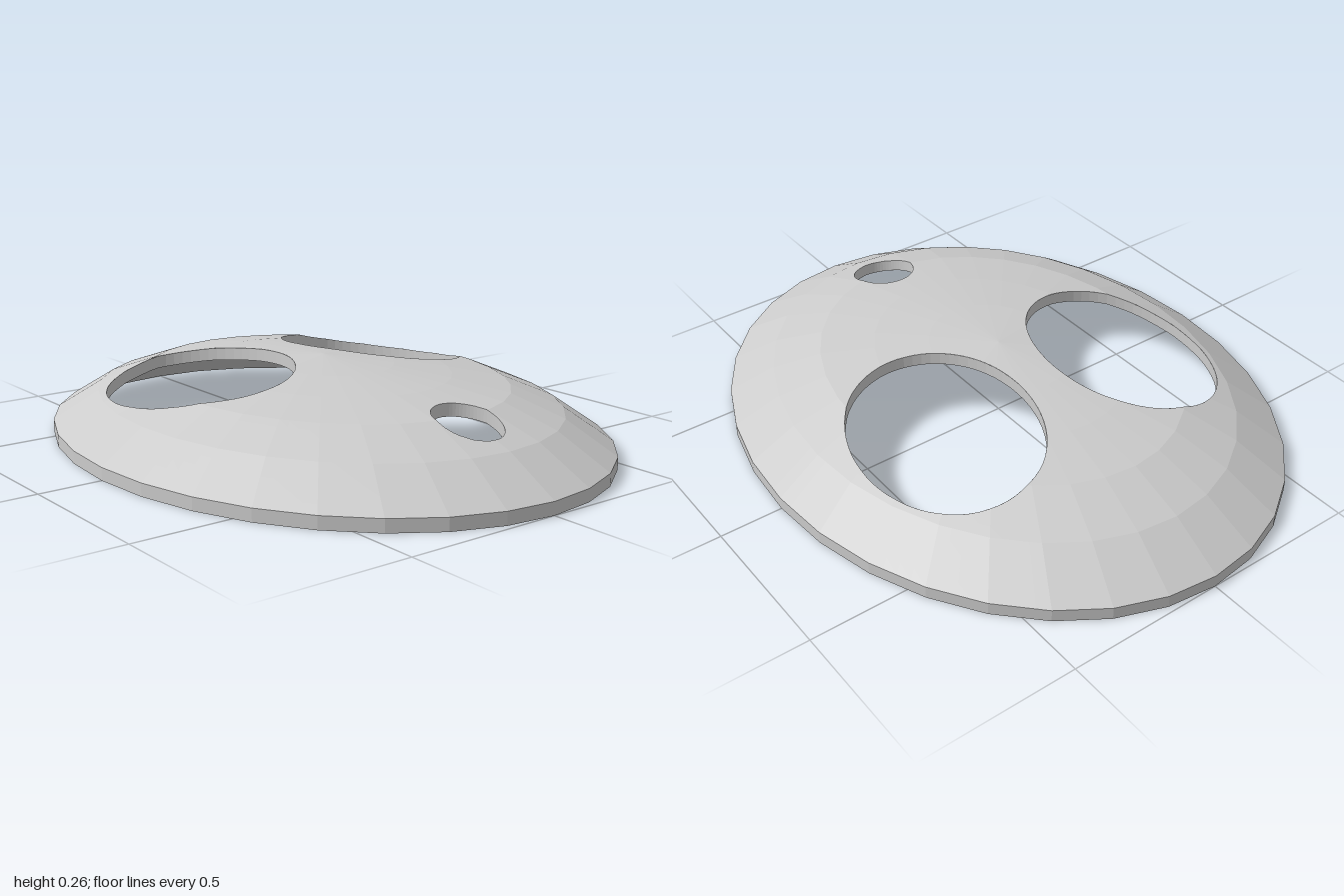
import * as THREE from 'three';

const SIDES = 32, DEPTH = 0.8, THICK = 0.04;
// Dome profile: [radius, height]
const PROFILE = [[0, 0.263], [0.25, 0.246], [0.45, 0.226], [0.65, 0.198], [0.83, 0.137], [1, 0.04]];
// Elliptical openings: centre and radii in plan
const HOLES = [
  { name: 'frontLargeOpening', x: -0.19, z: 0.341, rx: 0.345, rz: 0.27 },
  { name: 'backLargeOpening', x: -0.19, z: -0.341, rx: 0.345, rz: 0.27 },
  { name: 'smallOpening', x: 0.66, z: 0, rx: 0.112, rz: 0.098 },
];

// Height of the faceted dome at a plan position
function height(x, z) {
  const step = (2 * Math.PI) / SIDES;
  const a = Math.atan2(z / DEPTH, x);
  const local = a - (Math.floor(a / step) + 0.5) * step;
  const r = Math.hypot(x, z / DEPTH) * Math.cos(local) / Math.cos(step / 2);
  for (let i = 1; i < PROFILE.length; i++) {
    const [r0, h0] = PROFILE[i - 1], [r1, h1] = PROFILE[i];
    if (r <= r1) return h0 + (h1 - h0) * (r - r0) / (r1 - r0);
  }
  return PROFILE[PROFILE.length - 1][1];
}

// Positive outside an opening, negative inside it
const outside = (h, [x, z]) => Math.hypot((x - h.x) / h.rx, (z - h.z) / h.rz) - 1;
const mix = (p, q, t) => [p[0] + (q[0] - p[0]) * t, p[1] + (q[1] - p[1]) * t];

// Keep the part of a plan polygon that lies outside one opening
function clip(poly, hole) {
  const out = [];
  poly.forEach((p, i) => {
    const q = poly[(i + 1) % poly.length];
    const fp = outside(hole, p), fq = outside(hole, q);
    if (fp >= 0) out.push(p);
    if (fp >= 0 !== fq >= 0) {
      let lo = 0, hi = 1;
      for (let k = 0; k < 24; k++) {
        const mid = (lo + hi) / 2;
        if (outside(hole, mix(p, q, mid)) >= 0 === fp >= 0) lo = mid; else hi = mid;
      }
      out.push(mix(p, q, lo));
    }
  });
  return out;
}

// Plan triangles of the dome, ring by ring, with the openings cut out
function planTriangles() {
  const tris = [], RADIAL = 5, ANGULAR = 4;
  const corner = (i) => {
    const a = (i / SIDES) * Math.PI * 2;
    return [Math.cos(a), -Math.sin(a) * DEPTH];
  };
  for (let s = 0; s < SIDES; s++) {
    const c0 = corner(s), c1 = corner(s + 1);
    for (let ring = 1; ring < PROFILE.length; ring++) {
      const r0 = PROFILE[ring - 1][0], r1 = PROFILE[ring][0];
      for (let i = 0; i < RADIAL; i++) for (let j = 0; j < ANGULAR; j++) {
        const at = (u, v) => mix([0, 0], mix(c0, c1, v / ANGULAR), r0 + (r1 - r0) * u / RADIAL);
        const a = at(i, j), b = at(i + 1, j), c = at(i + 1, j + 1), d = at(i, j + 1);
        const pieces = ring === 1 && i === 0 ? [[a, b, c]] : [[a, b, c], [a, c, d]];
        for (const piece of pieces) {
          const poly = HOLES.reduce(clip, piece);
          for (let k = 2; k < poly.length; k++) tris.push([poly[0], poly[k - 1], poly[k]]);
        }
      }
    }
  }
  return tris;
}

function makeMesh(name, positions) {
  const geometry = new THREE.BufferGeometry();
  geometry.setAttribute('position', new THREE.Float32BufferAttribute(positions, 3));
  geometry.computeVertexNormals();
  const mesh = new THREE.Mesh(geometry, new THREE.MeshStandardMaterial({
    color: 0xcccccc, flatShading: true, side: THREE.DoubleSide,
  }));
  mesh.name = name;
  return mesh;
}

// Upright wall joining the upper and lower skins along a closed plan loop
function wall(name, loop) {
  const pos = [];
  loop.forEach(([x, z], i) => {
    const [x2, z2] = loop[(i + 1) % loop.length];
    const h = height(x, z), h2 = height(x2, z2);
    const a = [x, h - THICK, z], b = [x2, h2 - THICK, z2], c = [x2, h2, z2], d = [x, h, z];
    pos.push(...a, ...b, ...c, ...a, ...c, ...d);
  });
  return makeMesh(name, pos);
}

function ellipse(x, z, rx, rz, n, dir) {
  return Array.from({ length: n }, (_, i) => {
    const a = (dir * i / n) * Math.PI * 2;
    return [x + Math.cos(a) * rx, z - Math.sin(a) * rz];
  });
}

export function createModel() {
  const model = new THREE.Group();
  model.name = 'domedPlate';
  const tris = planTriangles();

  // Upper and lower skins
  const skin = (t, drop) => t.flatMap(([x, z]) => [x, height(x, z) - drop, z]);
  model.add(makeMesh('upperSkin', tris.flatMap((t) => skin(t, 0))));
  model.add(makeMesh('lowerSkin', tris.flatMap(([a, b, c]) => skin([a, c, b], THICK))));

  // Outer rim and the walls of the openings
  model.add(wall('rim', ellipse(0, 0, 1, DEPTH, SIDES, 1)));
  for (const h of HOLES) model.add(wall(h.name, ellipse(h.x, h.z, h.rx, h.rz, 64, -1)));
  return model;
}
